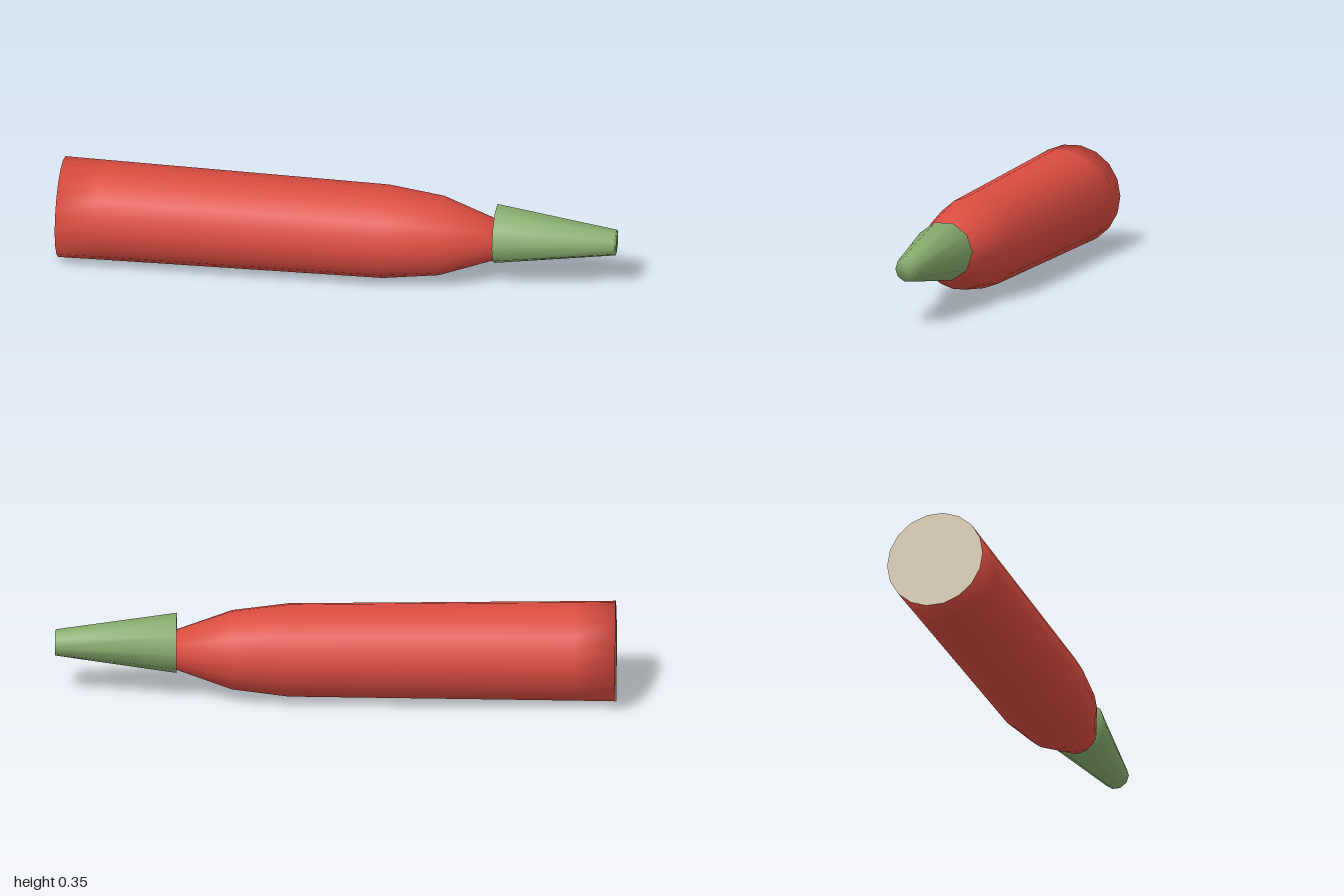
import * as THREE from 'three';

const AXIS_Y = 0.178;

// Turned part lying along x; profile is [x, radius] from the rear to the tip
function turned(name, profile, sides, y, material) {
  const points = profile.map(([x, r]) => new THREE.Vector2(r, x));
  const geometry = new THREE.LatheGeometry(points, sides).rotateZ(-Math.PI / 2);
  const mesh = new THREE.Mesh(geometry, material);
  mesh.name = name;
  mesh.position.y = y;
  return mesh;
}

export function createModel() {
  const red = new THREE.MeshStandardMaterial({ color: 0xda4c40 });
  red.name = 'red skin';
  const green = new THREE.MeshStandardMaterial({ color: 0x88ad6e });
  green.name = 'green stem';
  const cream = new THREE.MeshStandardMaterial({ color: 0xd6c9b0 });
  cream.name = 'cream flesh';

  const group = new THREE.Group();
  group.name = 'cutVegetable';

  // Long body, gently tapered, narrowing to a neck under the stem
  group.add(turned('body', [
    [-0.997, 0], [-0.997, 0.18], [-0.85, 0.178], [0.17, 0.167],
    [0.37, 0.142], [0.575, 0.07], [0.575, 0],
  ], 18, AXIS_Y, red));

  // Stem, set slightly above the body axis
  group.add(turned('stem', [
    [0.567, 0], [0.567, 0.108], [1, 0.047], [1, 0],
  ], 10, 0.204, green));

  // Cut face at the rear
  const cut = new THREE.Mesh(
    new THREE.CircleGeometry(0.18, 18).rotateY(-Math.PI / 2), cream);
  cut.name = 'cutFace';
  cut.position.set(-1, AXIS_Y, 0);
  group.add(cut);

  return group;
}
